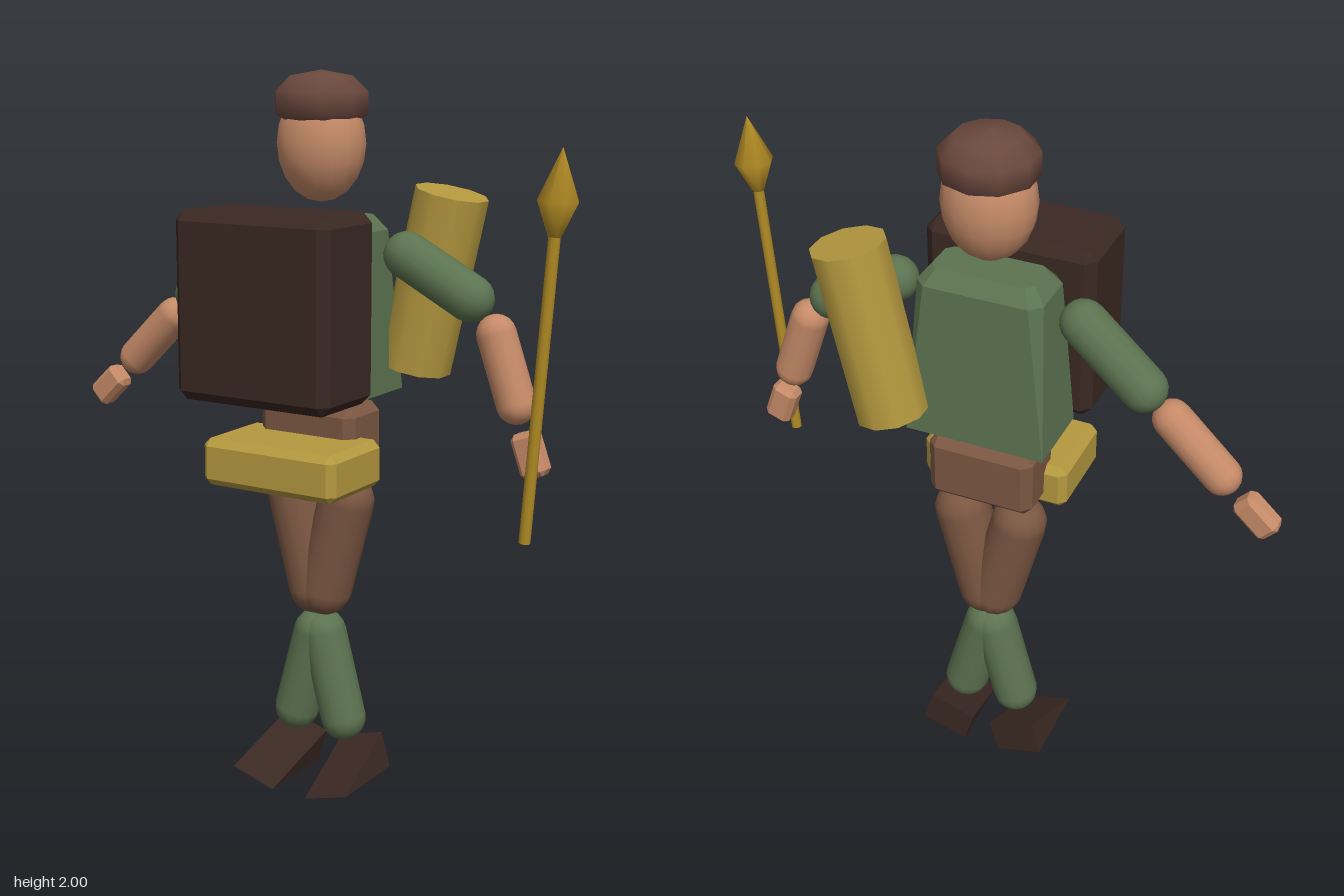
import * as THREE from 'three';
import { ConvexGeometry } from 'three/addons/geometries/ConvexGeometry.js';

const material = (color) => new THREE.MeshStandardMaterial({ color });
const green = material(0x5c7350);
const skin = material(0xc68b68);
const dark = material(0x3a2822);
const brown = material(0x7b5742);
const hatBrown = material(0x6a483d);
const canvas = material(0xb5993f);
const gold = material(0xb08a24);
const BODY_Z = -0.066;
const UP = new THREE.Vector3(0, 1, 0);

export function createModel() {
  const model = new THREE.Group();
  model.name = 'traveller';

  const add = (name, geometry, mat, x = 0, y = 0, z = 0) => {
    const mesh = new THREE.Mesh(geometry, mat);
    mesh.name = name;
    mesh.position.set(x, y, z);
    model.add(mesh);
    return mesh;
  };

  // Box with flat chamfers on every edge
  const chamferBox = (w, h, d, c) => {
    const half = [w / 2, h / 2, d / 2];
    const points = [];
    for (const sx of [-1, 1]) for (const sy of [-1, 1]) for (const sz of [-1, 1]) {
      for (let axis = 0; axis < 3; axis++) {
        const p = half.map((v, i) => (i === axis ? v : v - c));
        points.push(new THREE.Vector3(sx * p[0], sy * p[1], sz * p[2]));
      }
    }
    return new ConvexGeometry(points);
  };

  // Turn a part so its own y axis runs from a to b (front-plane points)
  const align = (mesh, a, b) => {
    const dir = new THREE.Vector3(b[0] - a[0], b[1] - a[1], 0).normalize();
    mesh.quaternion.setFromUnitVectors(UP, dir);
    return mesh;
  };

  // Rounded limb between two end centres
  const limb = (name, a, b, r, mat) => {
    const length = Math.hypot(b[0] - a[0], b[1] - a[1]);
    const mesh = add(name, new THREE.CapsuleGeometry(r, length, 5, 14), mat,
      (a[0] + b[0]) / 2, (a[1] + b[1]) / 2, BODY_Z);
    return align(mesh, a, b);
  };

  // Head and cap
  const head = add('head', new THREE.SphereGeometry(1, 16, 10), skin, 0, 1.81, BODY_Z);
  head.scale.set(0.123, 0.155, 0.113);
  const capProfile = [[0, 1.865], [0.09, 1.865], [0.127, 1.885], [0.127, 1.945], [0.085, 1.985], [0, 2]]
    .map(([r, y]) => new THREE.Vector2(r, y));
  add('cap', new THREE.LatheGeometry(capProfile, 10), hatBrown, 0, 0, BODY_Z);

  // Torso: wide sharp hem, narrower shoulders with a chamfered top
  const torso = [];
  const ring = (y, x, z, c) => {
    for (const sx of [-1, 1]) for (const sz of [-1, 1]) {
      torso.push(new THREE.Vector3(sx * x, y, sz * (z - c)));
      torso.push(new THREE.Vector3(sx * (x - c), y, sz * z));
    }
  };
  ring(1.15, 0.195, 0.11, 0.001);
  ring(1.585, 0.172, 0.092, 0.03);
  ring(1.625, 0.14, 0.06, 0.02);
  add('torso', new ConvexGeometry(torso), green, 0, 0, BODY_Z);

  // Hips, chest pack and belt pouch
  add('hips', chamferBox(0.3, 0.19, 0.175, 0.025), brown, 0, 1.02, BODY_Z);
  add('chestPack', chamferBox(0.475, 0.5, 0.25, 0.027), dark, 0, 1.4, 0.165);
  add('beltPouch', chamferBox(0.42, 0.13, 0.26, 0.02), canvas, 0, 0.967, 0.08);

  // Bedroll slung behind the left shoulder
  const rollTop = [0.326, 1.685], rollBottom = [0.222, 1.21];
  const roll = add('bedroll', new THREE.CylinderGeometry(0.1, 0.1, 0.486, 10), canvas,
    (rollTop[0] + rollBottom[0]) / 2, (rollTop[1] + rollBottom[1]) / 2, -0.196);
  align(roll, rollBottom, rollTop);

  // Arms: each pose lists upper arm, forearm and hand positions
  const arms = [
    { side: 'right', upper: [[-0.255, 1.525], [-0.42, 1.375]], fore: [[-0.5, 1.305], [-0.64, 1.17]], hand: [-0.742, 1.075] },
    { side: 'left', upper: [[0.265, 1.53], [0.455, 1.43]], fore: [[0.53, 1.345], [0.592, 1.168]], hand: [0.637, 1.043] },
  ];
  for (const { side, upper, fore, hand } of arms) {
    limb(`${side}UpperArm`, ...upper, 0.062, green);
    limb(`${side}Forearm`, ...fore, 0.052, skin);
    const mesh = add(`${side}Hand`, chamferBox(0.075, 0.12, 0.06, 0.014), skin, ...hand, BODY_Z);
    align(mesh, fore[1], hand);
  }

  // Legs and wedge shoes, mirrored
  const shoePoints = [];
  for (const x of [-0.07, 0.07]) {
    shoePoints.push(new THREE.Vector3(x, -0.051, 0.122),
      new THREE.Vector3(x, -0.051, -0.122), new THREE.Vector3(x, 0.051, -0.122));
  }
  const shoe = new ConvexGeometry(shoePoints);
  for (const [side, s] of [['left', 1], ['right', -1]]) {
    limb(`${side}Thigh`, [s * 0.085, 0.84], [s * 0.015, 0.573], 0.078, brown);
    limb(`${side}Shin`, [s * 0.012, 0.44], [s * 0.078, 0.195], 0.065, green);
    add(`${side}Shoe`, shoe, dark, s * 0.108, 0.07, -0.021).rotation.z = s * 0.28;
  }

  // Spear: thin shaft and pointed head, leaning outward
  const spearFoot = [0.69, 0.85], spearTip = [0.757, 1.83];
  const shaft = new THREE.CylinderGeometry(0.015, 0.015, 0.78, 10).translate(0, 0.39, 0);
  const tip = new THREE.LatheGeometry([[0, 0.77], [0.017, 0.77], [0.053, 0.856], [0, 0.982]]
    .map(([r, y]) => new THREE.Vector2(r, y)), 8);
  for (const [name, geometry] of [['spearShaft', shaft], ['spearHead', tip]]) {
    align(add(name, geometry, gold, ...spearFoot, 0.07), spearFoot, spearTip);
  }

  return model;
}
